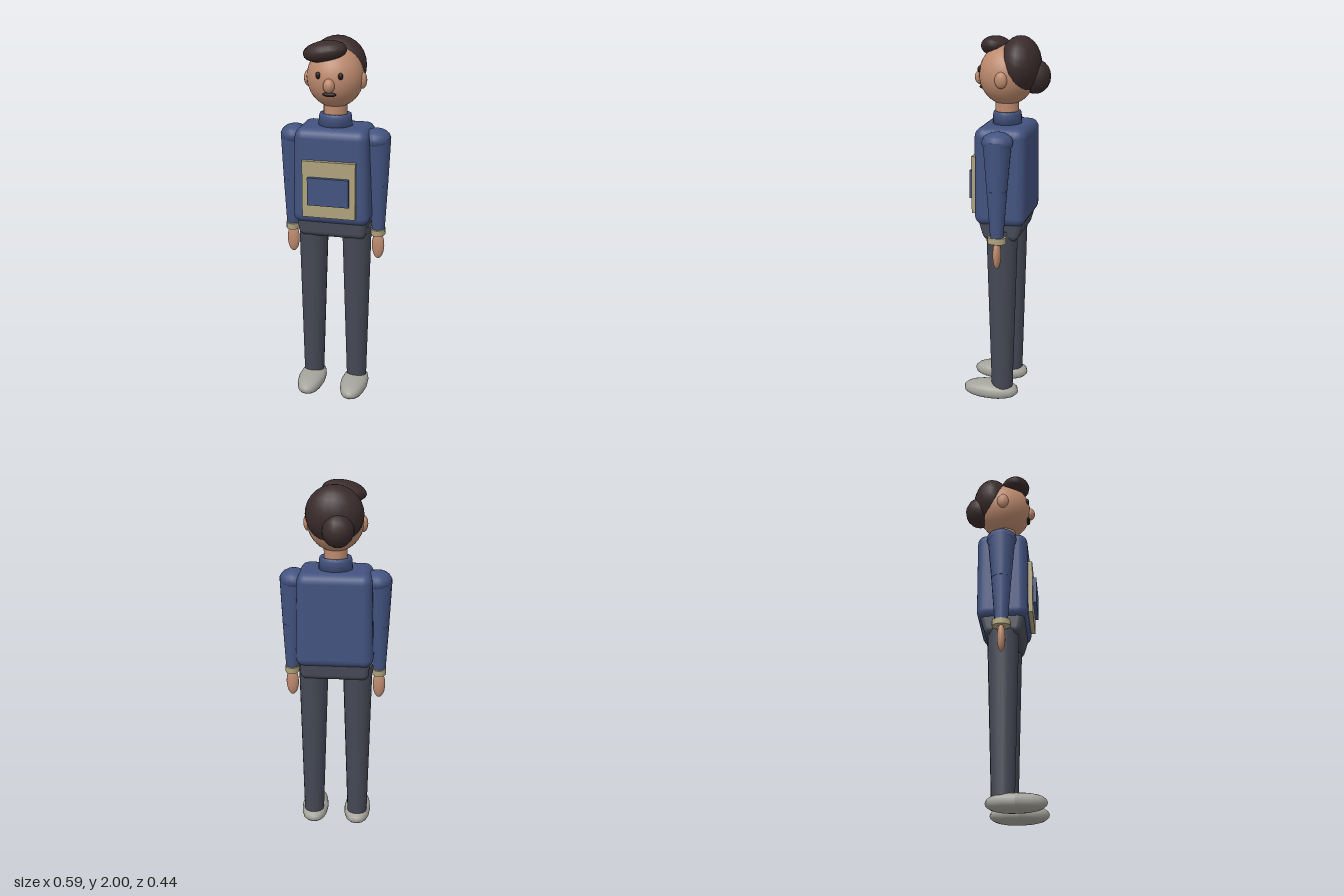
import * as THREE from 'three';
import { RoundedBoxGeometry } from 'three/addons/geometries/RoundedBoxGeometry.js';

const mat = (name, color) => {
  const m = new THREE.MeshStandardMaterial({ color });
  m.name = name;
  return m;
};

export function createModel() {
  const skin = mat('skin', 0xbd8a6e);
  const hair = mat('hair', 0x3a2b2c);
  const blue = mat('sweater blue', 0x435380);
  const grey = mat('trouser grey', 0x454955);
  const tan = mat('trim tan', 0xaea27c);
  const shoe = mat('shoe grey', 0xa5a49c);
  const dark = mat('feature dark', 0x241a1b);

  const root = new THREE.Group();
  root.name = 'figure';

  const add = (name, geo, material, pos, parent = root) => {
    const m = new THREE.Mesh(geo, material);
    m.name = name;
    m.position.set(...pos);
    parent.add(m);
    return m;
  };
  const ball = (name, material, pos, radii, w = 20, h = 14, parent = root) =>
    add(name, new THREE.SphereGeometry(1, w, h).scale(...radii), material, pos, parent);
  // Move every vertex by a rule, then refresh the normals
  const reshape = (geo, rule) => {
    const p = geo.attributes.position, v = new THREE.Vector3();
    for (let i = 0; i < p.count; i++) {
      rule(v.fromBufferAttribute(p, i));
      p.setXYZ(i, v.x, v.y, v.z);
    }
    return geo;
  };
  // Tapered limb between two points, with its own depth scale
  const limb = (name, material, top, bottom, rTop, rBottom, depth, parent) => {
    const a = new THREE.Vector3(...top), b = new THREE.Vector3(...bottom);
    const dir = a.clone().sub(b);
    const geo = new THREE.CylinderGeometry(rTop, rBottom, dir.length(), 16).scale(1, 1, depth);
    const m = add(name, geo, material, a.clone().add(b).multiplyScalar(0.5).toArray(), parent);
    m.quaternion.setFromUnitVectors(new THREE.Vector3(0, 1, 0), dir.normalize());
    return m;
  };

  // Torso, slightly narrower at the shoulders
  const torso = reshape(new RoundedBoxGeometry(0.414, 0.52, 0.274, 3, 0.05), v => {
    v.x *= 0.97 - v.y * 0.11 + (v.y < 0 ? 0.01 : 0);
  });
  add('torso', torso, blue, [0, 1.287, 0]);

  // Hips, narrowing in depth towards the bottom
  const hips = reshape(new RoundedBoxGeometry(0.38, 0.15, 0.25, 3, 0.035), v => {
    const t = THREE.MathUtils.clamp((0.05 - v.y) / 0.125, 0, 1);
    v.z *= 1 - 0.28 * t;
    v.x *= 1 - 0.04 * t;
  });
  add('hips', hips, grey, [0, 1.015, 0]);

  // Chest panel and pocket
  add('chestPanel', new THREE.BoxGeometry(0.284, 0.306, 0.03), tan, [0, 1.232, 0.146]);
  add('chestPocket', new THREE.BoxGeometry(0.22, 0.15, 0.03), blue, [0, 1.226, 0.166]);

  // Collar and neck
  const collar = [[0.05, -0.035], [0.091, -0.035], [0.087, 0.02], [0.083, 0.034], [0.074, 0.037], [0.058, 0.03]]
    .map(p => new THREE.Vector2(...p));
  add('collar', new THREE.LatheGeometry(collar, 20).scale(1, 1, 0.85), blue, [0, 1.575, 0]);
  add('neck', new THREE.CylinderGeometry(0.062, 0.062, 0.16, 18), skin, [0, 1.62, 0]);

  // Head with face
  ball('head', skin, [0, 1.8, 0], [0.148, 0.158, 0.148], 28, 20);
  ball('nose', skin, [0, 1.78, 0.145], [0.03, 0.037, 0.03], 14, 10);
  ball('moustache', dark, [0, 1.734, 0.135], [0.036, 0.012, 0.012], 14, 8);

  // Hair: cap, swept fringe and bun
  ball('hairCap', hair, [0, 1.85, -0.07], [0.15, 0.15, 0.109], 20, 14);
  const fringe = ball('hairFringe', hair, [-0.039, 1.938, 0.067], [0.116, 0.054, 0.079], 16, 12);
  fringe.rotation.z = 0.17;
  ball('hairBun', hair, [-0.022, 1.79, -0.143], [0.082, 0.09, 0.082], 14, 10);

  for (const [side, s] of [['left', 1], ['right', -1]]) {
    ball(side + 'Eye', dark, [s * 0.058, 1.829, 0.134], [0.013, 0.018, 0.011], 12, 8);
    ball(side + 'Ear', skin, [s * 0.143, 1.787, 0], [0.023, 0.043, 0.033], 14, 10);

    // Arm: shoulder, two sleeve sections, cuff, hand
    const arm = new THREE.Group();
    arm.name = side + 'Arm';
    root.add(arm);
    ball('shoulder', blue, [s * 0.22, 1.485, 0], [0.076, 0.054, 0.082], 16, 12, arm);
    limb('upperSleeve', blue, [s * 0.222, 1.49, 0], [s * 0.232, 1.235, 0], 0.075, 0.054, 1, arm);
    limb('lowerSleeve', blue, [s * 0.232, 1.235, 0], [s * 0.238, 0.97, 0], 0.054, 0.034, 1, arm);
    limb('cuff', tan, [s * 0.237, 0.985, 0], [s * 0.238, 0.952, 0], 0.038, 0.038, 1.3, arm);
    ball('hand', skin, [s * 0.238, 0.888, 0], [0.034, 0.078, 0.022], 14, 12, arm);

    // Leg and shoe
    const leg = new THREE.Group();
    leg.name = side + 'Leg';
    root.add(leg);
    limb('trouserLeg', grey, [s * 0.12, 1.0, 0], [s * 0.125, 0.07, 0], 0.081, 0.056, 1.06, leg);
    const foot = reshape(new THREE.SphereGeometry(1, 16, 12), v => {
      const box = c => Math.sign(c) * Math.abs(c) ** 0.85;
      v.set(box(v.x) * 0.076, box(v.y) * 0.047, box(v.z) * 0.155);
      if (v.z > 0) v.x *= 1 - v.z * 0.8;
    });
    foot.computeVertexNormals();
    add('shoe', foot, shoe, [s * 0.124, 0.047, 0.065], leg);
  }
  return root;
}
